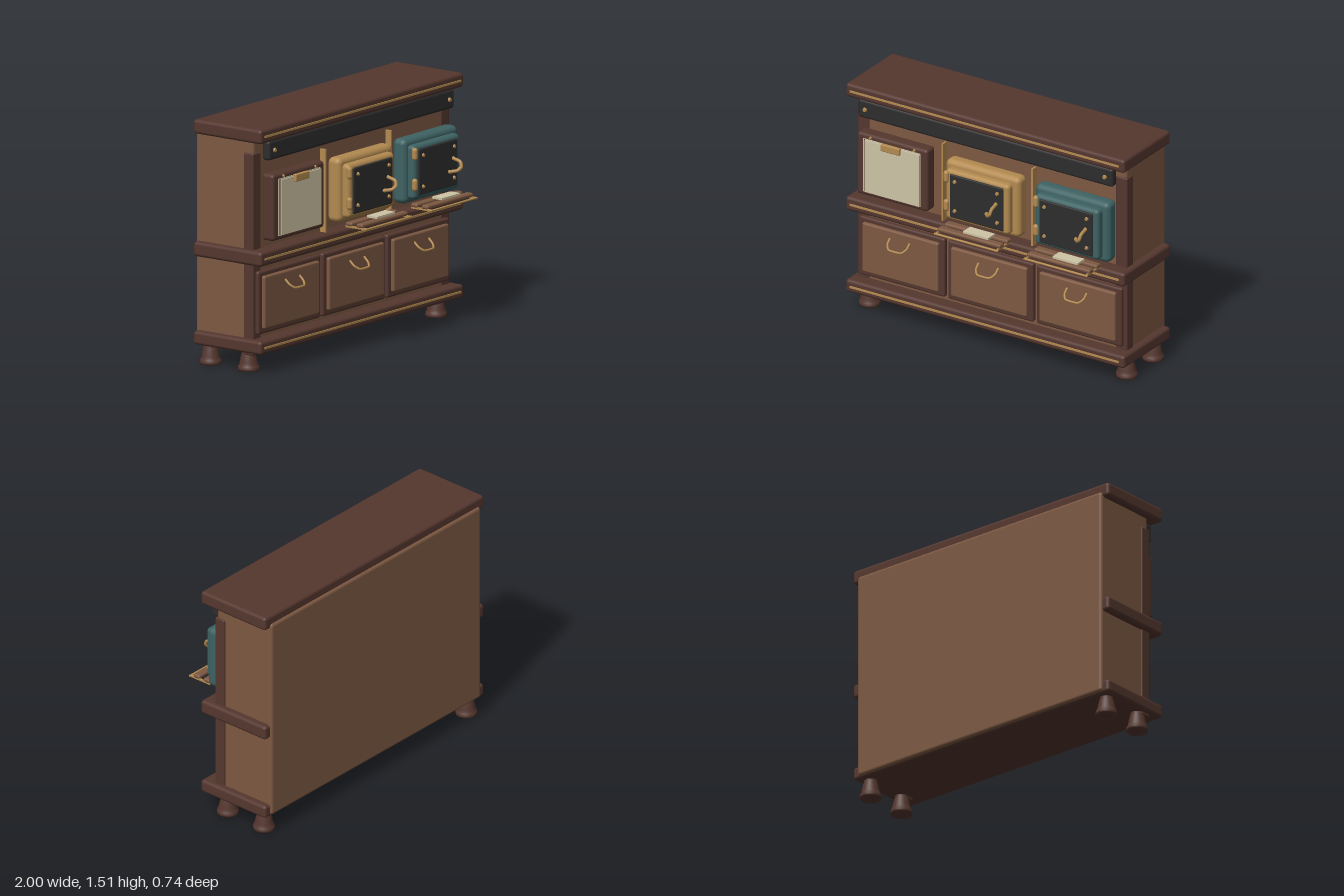
import * as THREE from 'three';
import { RoundedBoxGeometry } from 'three/addons/geometries/RoundedBoxGeometry.js';

const material = (name, color) => {
  const m = new THREE.MeshStandardMaterial({ color });
  m.name = name;
  return m;
};

export function createModel() {
  const darkWood = material('dark wood', 0x55372f);
  const wood = material('brown wood', 0x7d5942);
  const iron = material('black iron', 0x2d2d2d);
  const teal = material('teal enamel', 0x3f6364);
  const brass = material('brass', 0xb38a50);
  const cream = material('cream', 0xcfc5a6);

  const model = new THREE.Group();
  model.name = 'cabinet';

  const add = (parent, name, geometry, mat) => {
    const mesh = new THREE.Mesh(geometry, mat);
    mesh.name = name;
    parent.add(mesh);
    return mesh;
  };
  // Box given by its limits on each axis; r rounds the edges
  const box = (parent, name, mat, [x0, x1], [y0, y1], [z0, z1], r = 0) => {
    const size = [x1 - x0, y1 - y0, z1 - z0];
    const g = r ? new RoundedBoxGeometry(...size, 3, r) : new THREE.BoxGeometry(...size);
    const mesh = add(parent, name, g, mat);
    mesh.position.set((x0 + x1) / 2, (y0 + y1) / 2, (z0 + z1) / 2);
    return mesh;
  };
  const group = (name, x = 0) => {
    const g = new THREE.Group();
    g.name = name;
    g.position.x = x;
    model.add(g);
    return g;
  };
  // Domed screw facing the front
  const screw = (parent, x, y, z, r = 0.013) => {
    const base = add(parent, 'screw', new THREE.CylinderGeometry(r * 0.7, r, 0.012, 14), brass);
    base.rotation.x = Math.PI / 2;
    base.position.set(x, y, z + 0.005);
  };
  const tube = (parent, name, points, r, mat = brass) => {
    const curve = new THREE.CatmullRomCurve3(points.map(p => new THREE.Vector3(...p)), false, 'catmullrom', 0.3);
    add(parent, name, new THREE.TubeGeometry(curve, 28, r, 8), mat);
    for (const p of [points[0], points.at(-1)]) {
      add(parent, name + 'End', new THREE.SphereGeometry(r * 1.15, 10, 8), mat).position.set(...p);
    }
  };

  // Carcass and front corner posts
  box(model, 'carcass', wood, [-0.955, 0.955], [0.13, 1.45], [-0.37, 0.067], 0.02);
  for (const s of [-1, 1]) {
    box(model, 'cornerPost', darkWood, [s * 0.925 - 0.041, s * 0.925 + 0.041], [0.1, 1.345], [0, 0.075], 0.01);
  }

  // Three projecting slabs with brass inlays
  for (const [name, y0, y1] of [['baseSlab', 0.12, 0.203], ['middleSlab', 0.663, 0.753], ['topSlab', 1.418, 1.506]]) {
    box(model, name, darkWood, [-1, 1], [y0, y1], [-0.356, 0.16], 0.02);
    const y = (y0 + y1) / 2;
    box(model, name + 'Inlay', brass, [-0.965, 0.965], [y - 0.006, y + 0.006], [0.158, 0.167]);
  }

  // Turned feet
  const foot = [[0, 0], [0.064, 0], [0.067, 0.012], [0.064, 0.028], [0.055, 0.036], [0.057, 0.048],
    [0.05, 0.062], [0.052, 0.072], [0.045, 0.085], [0.046, 0.096], [0.039, 0.108], [0.039, 0.135], [0, 0.135]]
    .map(p => new THREE.Vector2(...p));
  for (const x of [-0.922, 0.922]) for (const z of [0.008, -0.28]) {
    add(model, 'foot', new THREE.LatheGeometry(foot, 24), darkWood).position.set(x, 0, z);
  }

  // Black rail under the top
  box(model, 'ironRail', iron, [-0.913, 0.913], [1.303, 1.424], [0.1, 0.156], 0.018);
  for (const x of [-0.86, 0.86]) screw(model, x, 1.363, 0.156, 0.015);

  // Brass dividers between the doors
  for (const x of [-0.322, 0.322]) {
    box(model, 'divider', brass, [x - 0.006, x + 0.006], [0.755, 1.267], [0.09, 0.132]);
  }

  // Drawers with bail handles
  for (const x of [-0.635, 0, 0.635]) {
    const drawer = group('drawer', x);
    box(drawer, 'drawerFrame', darkWood, [-0.306, 0.306], [0.227, 0.616], [0.06, 0.097], 0.014);
    box(drawer, 'drawerPanel', wood, [-0.273, 0.273], [0.261, 0.586], [0.08, 0.119], 0.012);
    tube(drawer, 'drawerHandle', [[-0.07, 0.53, 0.122], [-0.068, 0.505, 0.15], [-0.045, 0.485, 0.174],
      [0, 0.483, 0.177], [0.045, 0.485, 0.174], [0.068, 0.505, 0.15], [0.07, 0.53, 0.122]], 0.007);
  }

  // Notice panel on the right
  const notice = group('noticePanel');
  box(notice, 'noticeFrame', darkWood, [-0.905, -0.398], [0.808, 1.218], [0.09, 0.18], 0.02);
  box(notice, 'noticeBacking', cream, [-0.857, -0.445], [0.835, 1.187], [0.177, 0.184]);
  box(notice, 'noticeEdge', darkWood, [-0.846, -0.841], [0.84, 1.185], [0.182, 0.187]);
  box(notice, 'noticeSheet', cream, [-0.84, -0.447], [0.838, 1.18], [0.185, 0.193]);
  box(notice, 'noticeClip', brass, [-0.716, -0.58], [1.147, 1.193], [0.185, 0.21], 0.006);
  for (const x of [-0.805, -0.49]) screw(notice, x, 1.198, 0.178, 0.01);

  // Oven doors, each with a small rack in front
  for (const [x, enamel] of [[0, brass], [0.642, teal]]) {
    const door = group('ovenDoor', x);
    box(door, 'doorSurround', enamel, [-0.268, 0.267], [0.806, 1.205], [0.092, 0.19], 0.035);
    box(door, 'doorLeaf', enamel, [-0.235, 0.222], [0.835, 1.167], [0.16, 0.236], 0.025);
    box(door, 'doorPlate', iron, [-0.195, 0.187], [0.858, 1.143], [0.22, 0.246], 0.008);
    for (const sx of [-0.157, 0.147]) for (const sy of [0.909, 1.102]) screw(door, sx, sy, 0.245);
    for (const y of [0.928, 1.118]) {
      add(door, 'hinge', new THREE.CapsuleGeometry(0.018, 0.042, 4, 14), brass).position.set(-0.224, y, 0.235);
    }
    tube(door, 'doorLever', [[0.138, 1.03, 0.245], [0.14, 1.015, 0.298], [0.135, 0.985, 0.31],
      [0.112, 0.965, 0.298], [0.082, 0.958, 0.265]], 0.011);

    const rack = new THREE.Group();
    rack.name = 'rack';
    door.add(rack);
    for (const z of [0.23, 0.31]) {
      box(rack, 'rackSlat', wood, [-0.228, 0.225], [0.788, 0.814], [z - 0.025, z + 0.025], 0.011);
    }
    for (const sx of [-0.218, 0.215]) {
      box(rack, 'rackSideRod', brass, [sx - 0.006, sx + 0.006], [0.78, 0.792], [0.205, 0.365]);
    }
    box(rack, 'rackFrontRod', brass, [-0.232, 0.228], [0.78, 0.792], [0.353, 0.367], 0.005);
    box(rack, 'rackCard', cream, [-0.055, 0.125], [0.814, 0.827], [0.235, 0.312]);
  }

  return model;
}
